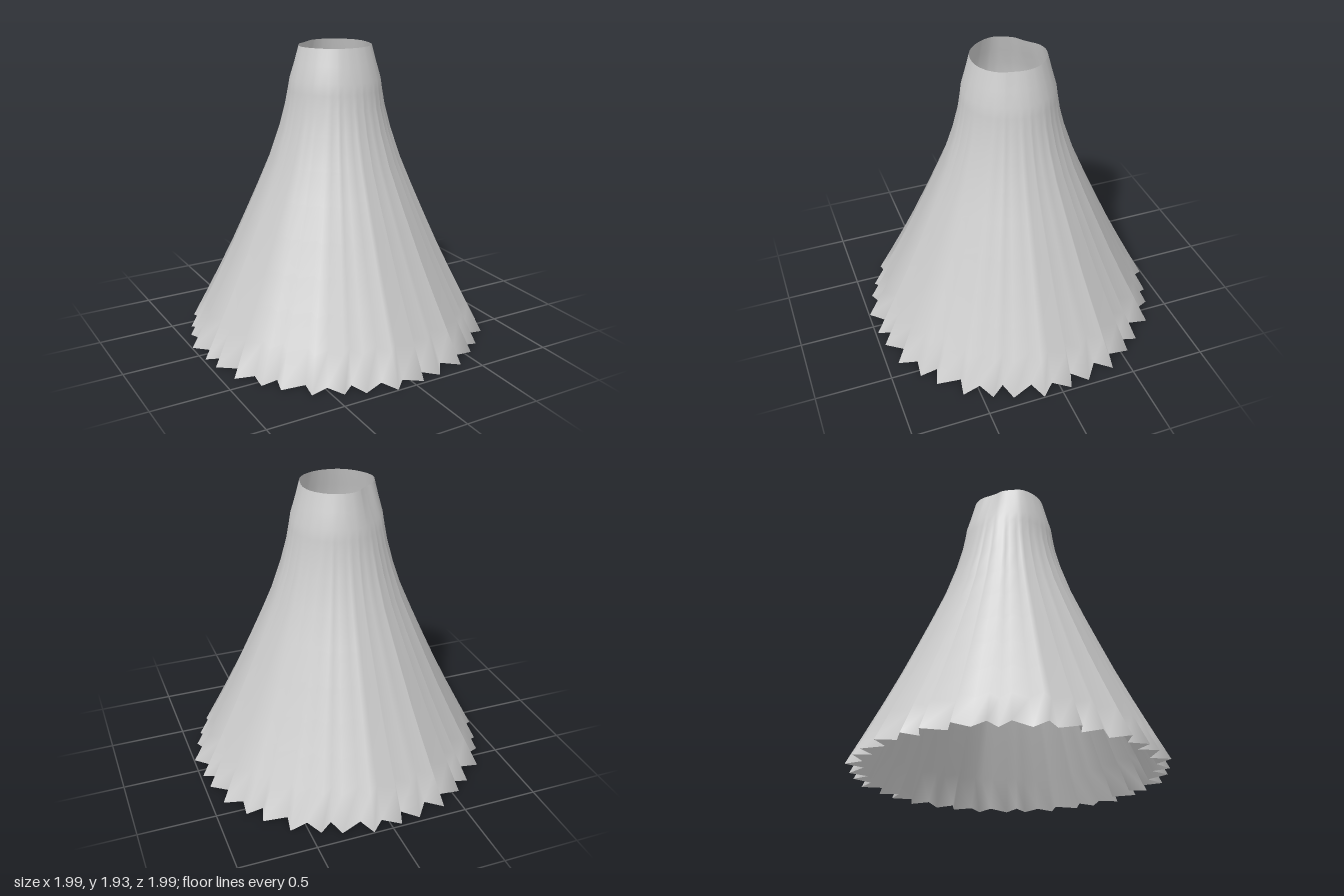
import * as THREE from 'three';

// Outer silhouette from hem to waist: [height, radius]
const PROFILE = [
  [0, 1], [0.2, 0.895], [0.4, 0.793], [0.6, 0.695], [0.8, 0.604], [1, 0.515], [1.2, 0.43],
  [1.4, 0.362], [1.55, 0.322], [1.65, 0.304], [1.72, 0.293], [1.82, 0.264], [1.93, 0.235],
];
// One repeat of the pleating, 30 degrees wide: [angle in degrees, hem radius], ridge then fold
const PLEATS = [[7.2, 1.003], [11, 0.888], [18.5, 0.985], [23, 0.88], [26.1, 0.985], [32.4, 0.905]];
// Slightly uneven waist opening, one radius every 15 degrees
const WAIST = [
  0.227, 0.223, 0.234, 0.24, 0.24, 0.24, 0.237, 0.238, 0.24, 0.24, 0.242, 0.248,
  0.25, 0.232, 0.224, 0.202, 0.205, 0.226, 0.235, 0.238, 0.236, 0.235, 0.235, 0.232,
];

function waistRadius(degrees) {
  const t = (((degrees % 360) + 360) % 360) / 15;
  const i = Math.floor(t);
  return THREE.MathUtils.lerp(WAIST[i % 24], WAIST[(i + 1) % 24], t - i);
}

function pleatedSkirt() {
  // Ridges and folds around the full hem
  const columns = [];
  for (let k = 0; k < 12; k++) {
    for (const [angle, radius] of PLEATS) columns.push([angle + 30 * k, radius]);
  }
  const n = columns.length;
  const positions = [];
  const indices = [];
  PROFILE.forEach(([y, radius], row) => {
    const pleat = Math.max(0, 1 - y / 1.68); // pleats flatten towards the waist
    const waist = THREE.MathUtils.smoothstep(y, 1.45, 1.93);
    columns.forEach(([degrees, hem], i) => {
      const r = radius + (hem - 1) * pleat + (waistRadius(degrees) - 0.235) * waist;
      const a = THREE.MathUtils.degToRad(degrees);
      positions.push(r * Math.cos(a), y, r * Math.sin(a));
      if (row < PROFILE.length - 1) {
        const p = row * n + i;
        const q = row * n + ((i + 1) % n);
        indices.push(p, p + n, q, q, p + n, q + n);
      }
    });
  });
  const geometry = new THREE.BufferGeometry();
  geometry.setAttribute('position', new THREE.Float32BufferAttribute(positions, 3));
  geometry.setIndex(indices);
  geometry.computeVertexNormals();
  return geometry;
}

export function createModel() {
  const fabric = new THREE.MeshStandardMaterial({ color: 0xcccccc, side: THREE.DoubleSide });
  fabric.name = 'light grey fabric';

  const skirt = new THREE.Mesh(pleatedSkirt(), fabric);
  skirt.name = 'pleatedSkirt';

  const model = new THREE.Group();
  model.name = 'skirt';
  model.add(skirt);
  return model;
}
